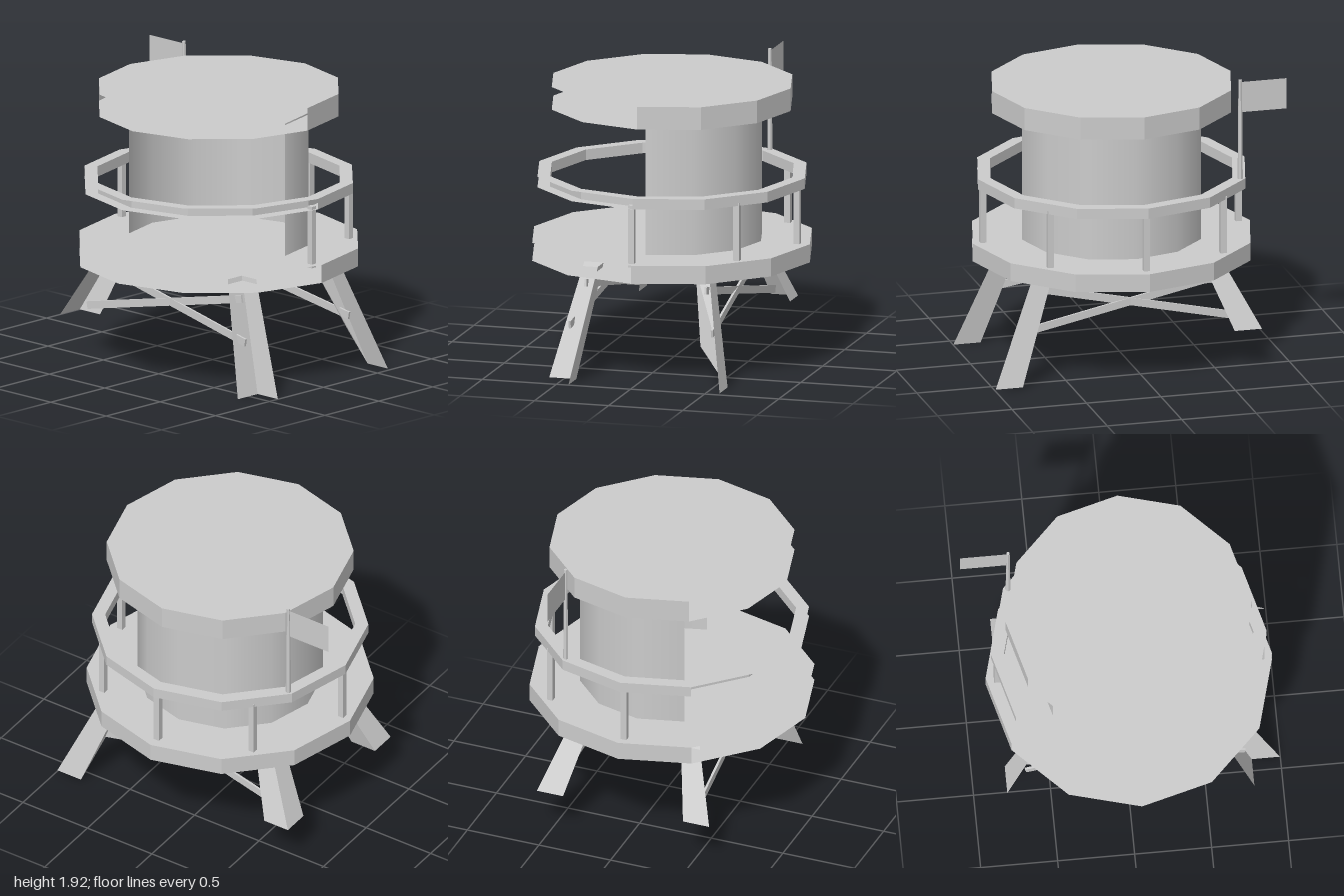
import * as THREE from 'three';

export function createModel() {
  const model = new THREE.Group();
  model.name = 'watchtower';
  const grey = new THREE.MeshStandardMaterial({ color: 0xcccccc, side: THREE.DoubleSide });
  grey.name = 'plain grey';
  const CX = 0.055; // axis of the tower

  function add(parent, name, geometry, x = 0, y = 0, z = 0) {
    const mesh = new THREE.Mesh(geometry, grey);
    mesh.name = name;
    mesh.position.set(x, y, z);
    parent.add(mesh);
    return mesh;
  }
  function group(name, x = 0) {
    const g = new THREE.Group();
    g.name = name;
    g.position.x = x;
    model.add(g);
    return g;
  }
  function flat(geometry) {
    const g = geometry.index ? geometry.toNonIndexed() : geometry;
    g.computeVertexNormals();
    return g;
  }
  // Seven of twelve wall panels, open at the front
  const openWall = (r, h) =>
    new THREE.CylinderGeometry(r, r, h, 7, 1, true, Math.PI / 2, Math.PI * 7 / 6);

  // Twelve-sided slab with full caps and an open front rim
  function slab(name, r, y0, y1) {
    const g = group(name, CX);
    add(g, name + 'Rim', flat(openWall(r, y1 - y0)), 0, (y0 + y1) / 2);
    add(g, name + 'Top', new THREE.CircleGeometry(r, 12).rotateX(-Math.PI / 2), 0, y1);
    add(g, name + 'Underside', new THREE.CircleGeometry(r, 12).rotateX(Math.PI / 2), 0, y0);
  }
  slab('platform', 0.93, 0.695, 0.815);
  slab('roof', 0.8, 1.69, 1.84);

  // Cabin wall
  add(model, 'cabinWall', openWall(0.6, 0.905), CX, 1.2475, 0);

  // Handrail ring
  const rail = group('handrail', CX);
  const railIn = 0.81, railOut = 0.895;
  add(rail, 'railOuter', flat(openWall(railOut, 0.07)), 0, 1.215);
  add(rail, 'railInner', flat(new THREE.CylinderGeometry(railIn, railIn, 0.07, 12, 1, true)), 0, 1.215);
  add(rail, 'railTop', new THREE.RingGeometry(railIn, railOut, 12).rotateX(-Math.PI / 2), 0, 1.25);
  add(rail, 'railUnderside', new THREE.RingGeometry(railIn, railOut, 12).rotateX(Math.PI / 2), 0, 1.18);

  // Rail posts
  const posts = group('railPosts', CX);
  for (const [x, z] of [[0.857, 0.018], [0.58, -0.61], [0, -0.845], [-0.58, -0.61], [-0.857, 0.018]]) {
    add(posts, 'railPost', new THREE.BoxGeometry(0.04, 0.41, 0.04), x, 0.995, z);
  }

  // Legs: thin angle irons, all opening towards +x and +z
  // top and foot list [x, y, z] of the x flange tip, the corner and the z flange tip
  function leg(name, top, foot) {
    const g = new THREE.BufferGeometry();
    const points = [];
    for (let i = 0; i < 2; i++) {
      points.push(top[i], foot[i], top[i + 1], top[i + 1], foot[i], foot[i + 1]);
    }
    g.setAttribute('position', new THREE.Float32BufferAttribute(points.flat(), 3));
    add(model, name, flat(g));
  }
  const angle = (x, z, w, ys) => [[x + w, ys[0], z], [x, ys[1], z], [x, ys[2], z + w]];
  const topY = [0.725, 0.725, 0.725];
  const short = [0.27, 0.27, 0.27];
  leg('frontLeftLeg', angle(0.565, 0.31, 0.13, topY), angle(0.815, 0.42, 0.183, [0, 0, 0]));
  leg('frontRightLeg', angle(-0.555, 0.31, 0.13, topY), angle(-0.79, 0.42, 0.183, short));
  leg('backLeftLeg', angle(0.565, -0.44, 0.13, topY), angle(0.815, -0.6, 0.183, [0.01, 0.01, 0.27]));
  leg('backRightLeg', angle(-0.555, -0.44, 0.13, topY), angle(-0.79, -0.6, 0.183, short));

  // Crossed braces at front and back
  function brace(name, a, b) {
    const from = new THREE.Vector3(...a), to = new THREE.Vector3(...b);
    const bar = add(model, name, new THREE.BoxGeometry(from.distanceTo(to), 0.05, 0.015));
    bar.position.copy(from).add(to).multiplyScalar(0.5);
    bar.quaternion.setFromUnitVectors(new THREE.Vector3(1, 0, 0), to.sub(from).normalize());
  }
  for (const [side, s] of [['front', 1], ['back', -1]]) {
    brace(side + 'FallingBrace', [-0.56, 0.595, s * 0.405], [0.765, 0.345, s * 0.48]);
    brace(side + 'RisingBrace', [-0.66, 0.335, s * 0.48], [0.66, 0.605, s * 0.405]);
  }

  // Flag on a tapered six-sided pole
  add(model, 'flagPole', flat(new THREE.CylinderGeometry(0.012, 0.018, 0.73, 6)), -0.688, 1.555, -0.44);
  add(model, 'flag', new THREE.PlaneGeometry(0.31, 0.205), -0.845, 1.802, -0.44);

  return model;
}
